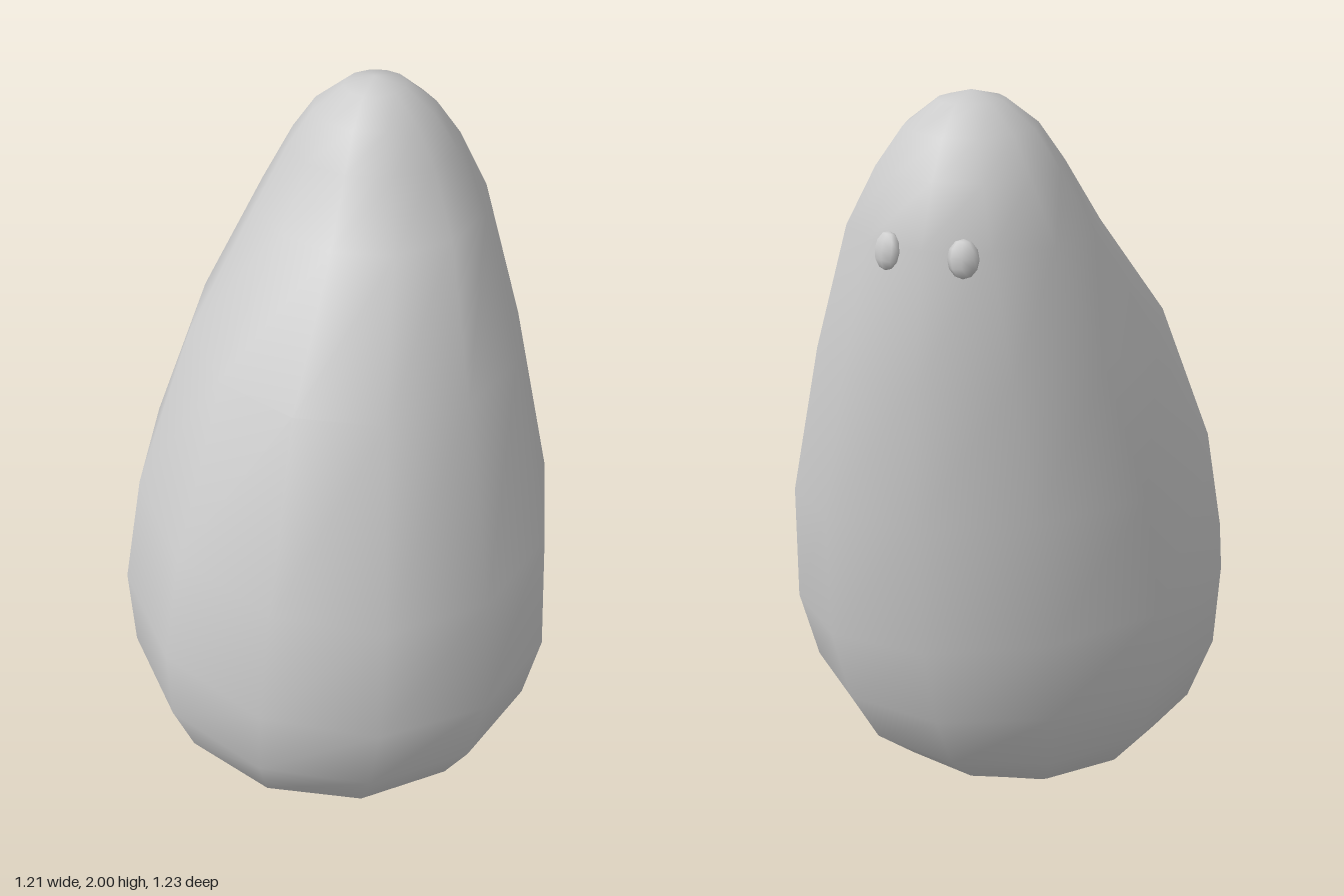
import * as THREE from 'three';

const SIDES = 12;

// Tilted body rings: [xMin, yAtXMin, xMax, yAtXMax, zFront, zBack, yFront - yBack]
const RINGS = [
  [-0.17, 0.02, 0.12, 0.02, 0.18, -0.11, 0],
  [-0.31, 0.07, 0.25, 0.06, 0.31, -0.24, 0],
  [-0.43, 0.16, 0.37, 0.13, 0.44, -0.36, 0],
  [-0.525, 0.29, 0.48, 0.22, 0.54, -0.47, 0],
  [-0.59, 0.48, 0.56, 0.35, 0.605, -0.545, -0.02],
  [-0.605, 0.72, 0.6, 0.54, 0.615, -0.59, -0.04],
  [-0.565, 1.03, 0.57, 0.87, 0.545, -0.61, -0.1],
  [-0.45, 1.4, 0.43, 1.34, 0.33, -0.615, 0],
  [-0.325, 1.68, 0.29, 1.68, 0.04, -0.58, -0.02],
  [-0.245, 1.83, 0.205, 1.83, -0.07, -0.52, 0],
  [-0.18, 1.92, 0.14, 1.92, -0.13, -0.455, 0],
  [-0.1, 1.98, 0.06, 1.98, -0.205, -0.38, 0],
];

function bodyGeometry() {
  const pos = [];
  const index = [];
  for (const [x0, y0, x1, y1, zf, zb, dy] of RINGS) {
    for (let i = 0; i < SIDES; i++) {
      const a = (i / SIDES) * Math.PI * 2;
      const s = Math.sin(a), c = Math.cos(a);
      pos.push(
        (x0 + x1) / 2 + ((x1 - x0) / 2) * s,
        (y0 + y1) / 2 + ((y1 - y0) / 2) * s + (dy / 2) * c,
        (zf + zb) / 2 + ((zf - zb) / 2) * c
      );
    }
  }
  const bottom = pos.length / 3;
  pos.push(-0.025, 0, 0.035, -0.02, 2, -0.29);
  const last = (RINGS.length - 1) * SIDES;
  for (let i = 0; i < SIDES; i++) {
    const j = (i + 1) % SIDES;
    for (let k = 0; k < last; k += SIDES) {
      index.push(k + i, k + j, k + SIDES + j, k + i, k + SIDES + j, k + SIDES + i);
    }
    // Bottom and top caps
    index.push(bottom, j, i, last + i, last + j, bottom + 1);
  }
  const g = new THREE.BufferGeometry();
  g.setAttribute('position', new THREE.Float32BufferAttribute(pos, 3));
  g.setIndex(index);
  g.computeVertexNormals();
  return g;
}

export function createModel() {
  const group = new THREE.Group();
  const material = new THREE.MeshStandardMaterial({ color: 0xcccccc });

  const body = new THREE.Mesh(bodyGeometry(), material);
  body.name = 'body';
  group.add(body);

  // Small flattened eyes set into the back of the head
  const eyeGeometry = new THREE.SphereGeometry(1, 8, 6);
  eyeGeometry.scale(0.037, 0.045, 0.02);
  for (const [name, x, yaw] of [['rightEye', -0.113, 0.25], ['leftEye', 0.075, -0.3]]) {
    const eye = new THREE.Mesh(eyeGeometry, material);
    eye.name = name;
    eye.position.set(x, 1.675, -0.56);
    eye.rotation.set(0.2, yaw, 0, 'YXZ');
    group.add(eye);
  }
  return group;
}
